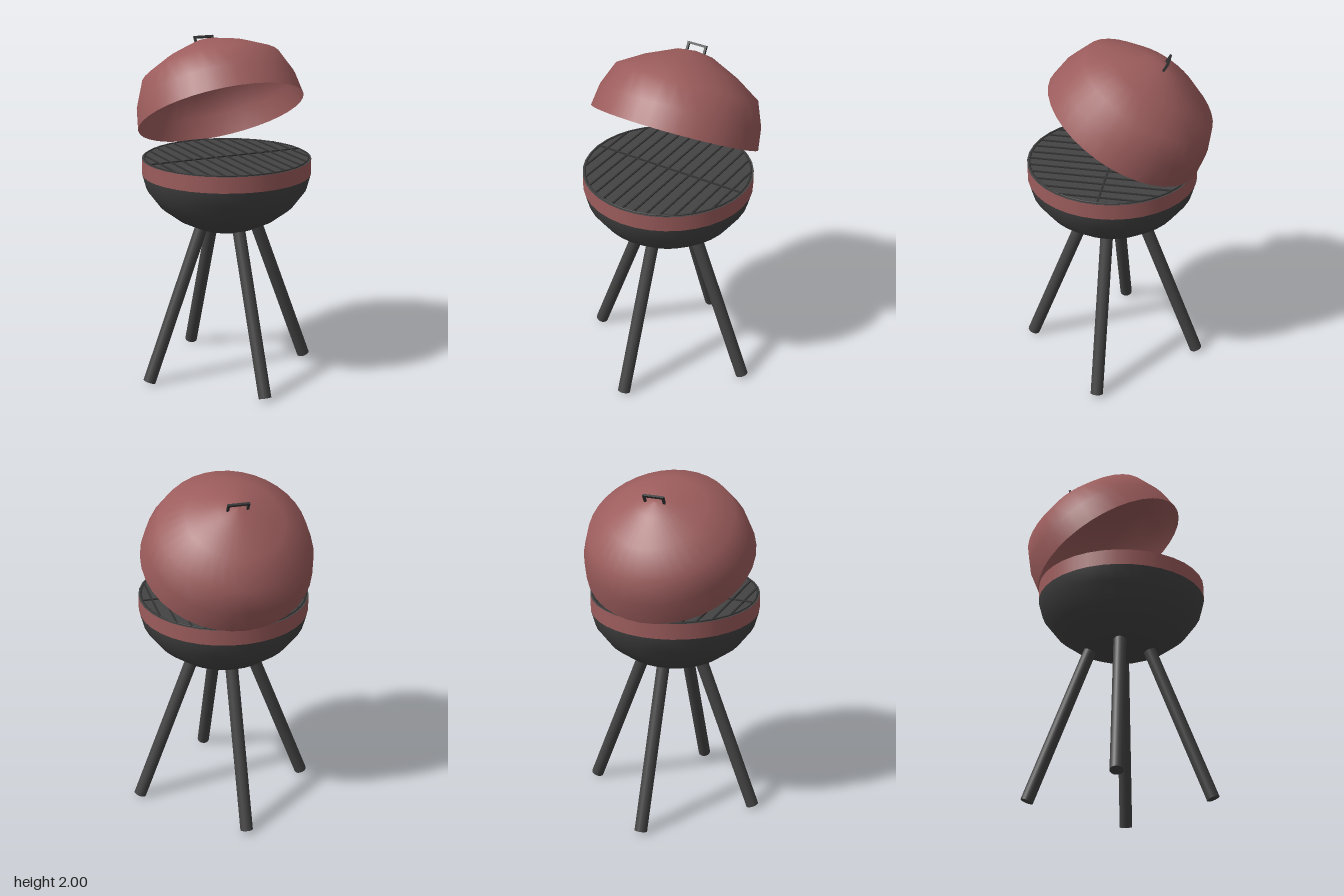
import * as THREE from 'three';

const CX = -0.012, CZ = 0.01, R = 0.489, RIM = 1.322, SEG = 36;

const red = new THREE.MeshStandardMaterial({ color: 0x9c5c5c, side: THREE.DoubleSide });
const dark = new THREE.MeshStandardMaterial({ color: 0x444444, side: THREE.DoubleSide });
const barMat = new THREE.MeshStandardMaterial({ color: 0x333333 });

function add(parent, name, geometry, material, x = 0, y = 0, z = 0) {
  const mesh = new THREE.Mesh(geometry, material);
  mesh.name = name;
  mesh.position.set(x, y, z);
  parent.add(mesh);
  return mesh;
}

const lathe = (points) =>
  new THREE.LatheGeometry(points.map(([r, y]) => new THREE.Vector2(r, y)), SEG);

function createBowl() {
  const bowl = new THREE.Group();
  bowl.name = 'bowl';
  bowl.position.set(CX, 0, CZ);
  add(bowl, 'bowlShell', lathe([
    [0, 0.89], [0.11, 0.891], [0.19, 0.918], [0.29, 0.967],
    [0.39, 1.043], [0.466, 1.145], [R, 1.23],
  ]), dark);
  // Coloured band under the rim
  add(bowl, 'rimBand', lathe([[R, 1.23], [R, RIM]]), red);
  // Plate closing the bowl beneath the grate
  add(bowl, 'coalPlate', new THREE.CircleGeometry(R, SEG).rotateX(-Math.PI / 2), dark, 0, RIM, 0);
  return bowl;
}

function createGrate() {
  const grate = new THREE.Group();
  grate.name = 'grate';
  grate.position.set(CX, RIM + 0.002, CZ);
  const r = 0.475, t = 0.01;
  add(grate, 'grateRing', new THREE.TorusGeometry(r, t / 2, 6, SEG).rotateX(Math.PI / 2), barMat);
  for (let i = -6; i <= 6; i++) {
    const x = i * 0.07;
    const length = 2 * Math.sqrt(r * r - x * x);
    add(grate, 'grateBar', new THREE.BoxGeometry(t, t, length), barMat, x, 0, 0);
  }
  add(grate, 'crossBar', new THREE.BoxGeometry(2 * r, t, t), barMat);
  return grate;
}

function createLid() {
  // Tilted open, hinged at the back of the rim
  const lid = new THREE.Group();
  lid.name = 'lid';
  lid.position.set(CX, 1.562, -0.062);
  lid.rotation.x = -Math.PI / 6;
  add(lid, 'lidShell', lathe([
    [R, 0], [0.47, 0.13], [0.414, 0.267], [0.27, 0.355], [0.1, 0.431], [0, 0.443],
  ]), red);

  const handle = new THREE.Group();
  handle.name = 'lidHandle';
  const t = 0.013;
  add(handle, 'handleGrip', new THREE.BoxGeometry(0.124, t, t), barMat, 0, 0.479, 0);
  for (const side of [-1, 1]) {
    add(handle, 'handlePost', new THREE.BoxGeometry(t, 0.055, t), barMat, side * 0.0555, 0.452, 0);
  }
  lid.add(handle);
  return lid;
}

function createLeg(name, dx, dz) {
  // Splayed straight leg from just inside the bowl down to the ground
  const from = new THREE.Vector3(dx * 0.516 || CX, 0.014, dz * 0.516 || CZ);
  const to = new THREE.Vector3(dx * 0.166 || CX, 0.94, dz * 0.166 || CZ);
  const axis = to.clone().sub(from);
  const leg = add(new THREE.Group(), name,
    new THREE.CylinderGeometry(0.037, 0.037, axis.length(), 20), dark);
  leg.position.copy(from).add(to).multiplyScalar(0.5);
  leg.quaternion.setFromUnitVectors(new THREE.Vector3(0, 1, 0), axis.normalize());
  return leg;
}

export function createModel() {
  const model = new THREE.Group();
  model.name = 'kettleGrill';
  model.add(createBowl(), createGrate(), createLid());
  model.add(
    createLeg('frontLeg', 0, 1), createLeg('backLeg', 0, -1),
    createLeg('leftLeg', 1, 0), createLeg('rightLeg', -1, 0),
  );
  return model;
}
